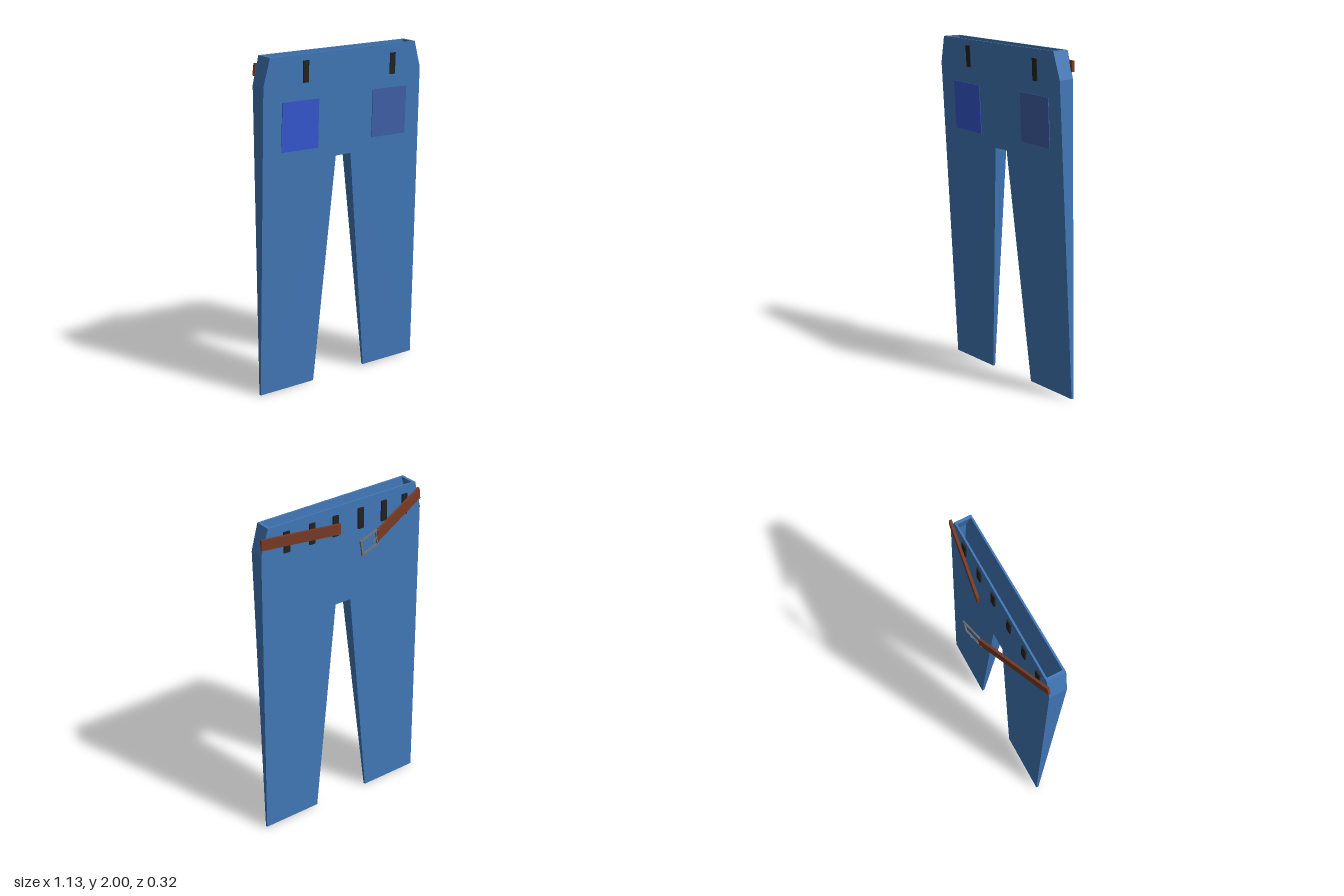
import * as THREE from 'three';

const BACK = 0.045;
// Depth of the trousers: deep at the waist, almost flat at the hems
const depth = (x, y) => 0.014 + 0.0465 * y - 0.012 * x * (y / 2);

const material = (color) => new THREE.MeshStandardMaterial({ color, flatShading: true, side: THREE.DoubleSide });
const denim = material(0x4178b8);
const leather = material(0x7a3a25);
const black = material(0x222222);
const steel = material(0x70747c);

// Outline extruded between two surfaces; zOf(x, y, s) with s = 0 back, 1 front
function slab(name, points, zOf, mat) {
  const shape = new THREE.Shape(points.map(([x, y]) => new THREE.Vector2(x, y)));
  const geo = new THREE.ExtrudeGeometry(shape, { depth: 1, bevelEnabled: false });
  const p = geo.attributes.position;
  for (let i = 0; i < p.count; i++) p.setZ(i, zOf(p.getX(i), p.getY(i), p.getZ(i)));
  geo.computeVertexNormals();
  const mesh = new THREE.Mesh(geo, mat);
  mesh.name = name;
  return mesh;
}

// Slab filling a fraction of the trouser depth
const between = (a, b) => (x, y, s) => BACK + depth(x, y) * (a + (b - a) * s);
// Slab lying on the front surface
const onFront = (t) => (x, y, s) => BACK + depth(x, y) - 0.002 + s * t;

const rect = (x, y, w, h, skew = 0) => [
  [x - w / 2, y - h / 2 + skew], [x + w / 2, y - h / 2 - skew],
  [x + w / 2, y + h / 2 - skew], [x - w / 2, y + h / 2 + skew],
];

// Place an object at the middle of a-b with its x axis along a-b and y roughly up
function alignTo(obj, a, b) {
  const A = new THREE.Vector3(...a), B = new THREE.Vector3(...b);
  const X = B.clone().sub(A).normalize();
  const Z = X.clone().cross(new THREE.Vector3(0, 1, 0)).normalize();
  const Y = Z.clone().cross(X);
  obj.quaternion.setFromRotationMatrix(new THREE.Matrix4().makeBasis(X, Y, Z));
  obj.position.copy(A.add(B).multiplyScalar(0.5));
  return obj;
}

function strap(name, a, b, height, thick, mat) {
  const length = new THREE.Vector3(...a).distanceTo(new THREE.Vector3(...b));
  const mesh = new THREE.Mesh(new THREE.BoxGeometry(length, height, thick), mat);
  mesh.name = name;
  return alignTo(mesh, a, b);
}

export function createModel() {
  const model = new THREE.Group();
  model.name = 'trousers';

  // Edges of the cut, from waist to hem and around the crotch
  const rightEdge = [[-0.53, 2], [-0.57, 1.84], [-0.56, 0]];
  const crotch = [[-0.185, 0], [-0.065, 1.385], [0.04, 1.385], [0.19, 0.01]];
  const leftEdge = [[0.565, 0.01], [0.535, 1.84], [0.487, 1.995]];
  const outline = [...rightEdge, ...crotch, ...leftEdge];

  // Front and back panels joined by side walls, open at waist and hems
  model.add(slab('backPanel', outline, between(0, 0.1), denim));
  model.add(slab('frontPanel', outline, between(0.9, 1), denim));
  const wall = (name, edge, inner) =>
    model.add(slab(name, [...edge, ...inner.reverse()], between(0.1, 0.9), denim));
  const T = 0.018;
  wall('rightSideWall', rightEdge, rightEdge.map(([x, y]) => [x + T, y]));
  wall('leftSideWall', leftEdge, leftEdge.map(([x, y]) => [x - T, y]));
  wall('inseamWall', crotch, crotch.map(([x, y], i) => [x + (i < 2 ? -T : T), y + (y > 1 ? T : 0)]));

  // Patch pockets
  model.add(slab('rightPocket', rect(-0.32, 1.597, 0.25, 0.285, 0.003), onFront(0.006), material(0x3558d0)));
  model.add(slab('leftPocket', rect(0.312, 1.597, 0.248, 0.285, 0.003), onFront(0.006), material(0x4060a8)));

  // Belt loops
  [[-0.29, 1.9], [0.325, 1.88]].forEach(([x, y]) =>
    model.add(slab('frontBeltLoop', rect(x, y, 0.038, 0.125), onFront(0.007), black)));
  for (const x of [-0.45, -0.3, -0.135, 0.04, 0.2, 0.37]) {
    const loop = new THREE.Mesh(new THREE.BoxGeometry(0.038, 0.125, 0.01), black);
    loop.name = 'backBeltLoop';
    loop.position.set(x, 1.885, 0.041);
    model.add(loop);
  }

  // Open belt hanging behind the waist
  model.add(strap('beltBuckleEnd', [-0.56, 1.925, 0.045], [-0.12, 1.84, -0.125], 0.07, 0.014, leather));
  model.add(strap('beltTipEnd', [0.535, 1.91, 0.045], [0.065, 1.905, -0.035], 0.062, 0.015, leather));

  // Buckle frame with prong
  const frame = new THREE.Shape(rect(0, 0, 0.14, 0.1).map(([x, y]) => new THREE.Vector2(x, y)));
  frame.holes.push(new THREE.Path(rect(0, 0, 0.115, 0.076).map(([x, y]) => new THREE.Vector2(x, y))));
  const frameGeo = new THREE.ExtrudeGeometry(frame, { depth: 0.009, bevelEnabled: false }).translate(0, 0, -0.0045);
  const buckle = new THREE.Mesh(frameGeo, steel);
  buckle.name = 'buckle';
  model.add(alignTo(buckle, [-0.13, 1.835, -0.123], [0.01, 1.81, -0.15]));
  model.add(strap('buckleProng', [-0.14, 1.84, -0.118], [-0.068, 1.825, -0.155], 0.008, 0.004, steel));

  return model;
}
